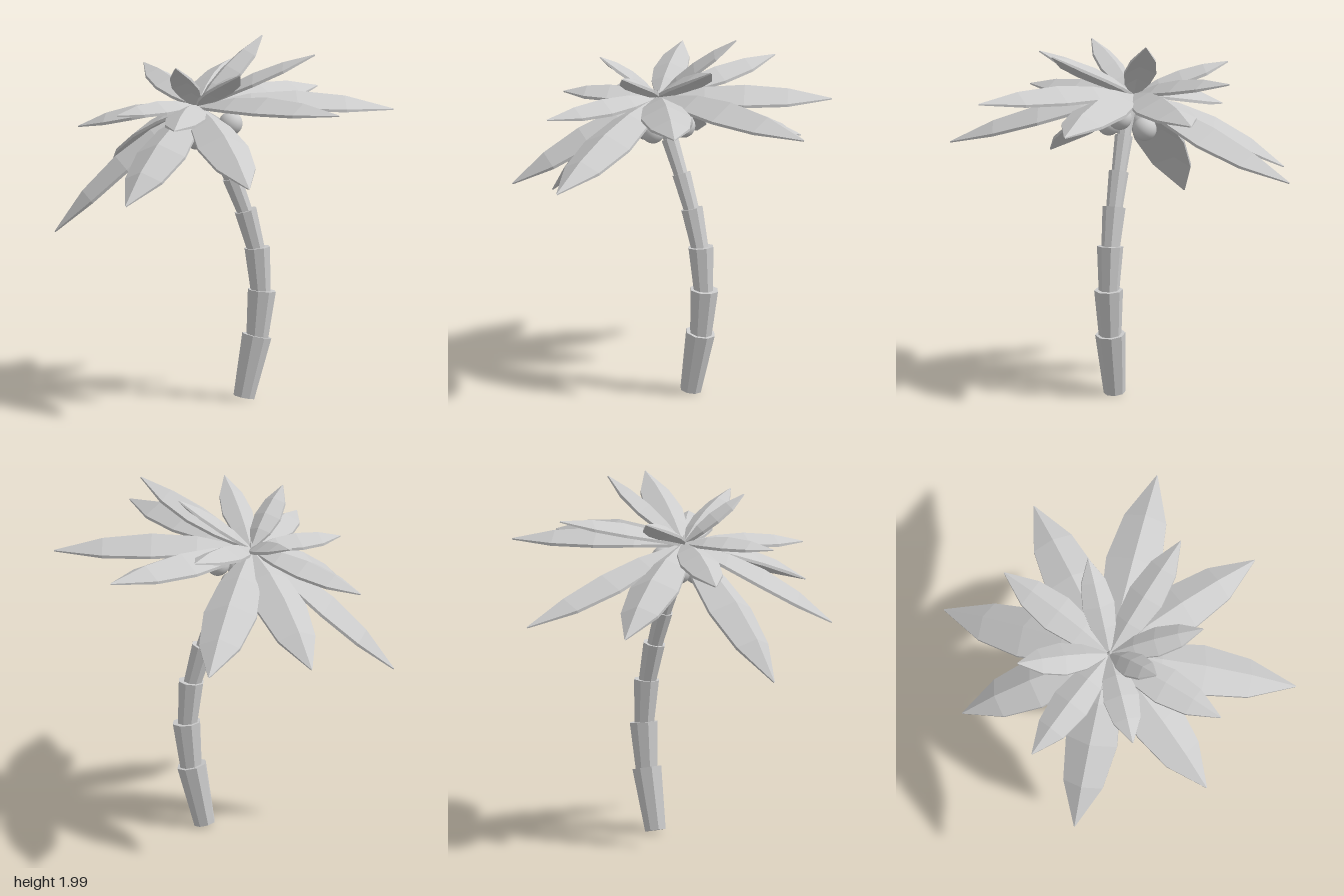
import * as THREE from 'three';

const material = new THREE.MeshStandardMaterial({ color: 0xcccccc, flatShading: true });
const smooth = new THREE.MeshStandardMaterial({ color: 0xcccccc });
const UP = new THREE.Vector3(0, 1, 0);
const CROWN = new THREE.Vector3(-0.15, 1.64, -0.02);

// Folded, arched leaf blade from the crown to its tip, lofted from six-point sections
function frondGeometry(tip, halfWidth, arch) {
  const along = tip.clone().sub(CROWN);
  const dir = along.clone().normalize();
  const side = dir.clone().cross(UP).normalize();
  const normal = side.clone().cross(dir);
  const thick = 0.016;
  const stations = [[0, 0.1], [0.27, 0.78], [0.5, 1], [0.75, 0.77], [1, 0.02]];
  const positions = [];
  const index = [];
  stations.forEach(([t, w], j) => {
    const hw = w * halfWidth;
    const fold = hw * 0.5;
    const depth = j === 4 ? thick * 0.4 : thick;
    const section = [[-hw, -fold], [0, 0], [hw, -fold],
      [hw, -fold - depth], [0, -depth], [-hw, -fold - depth]];
    for (const [s, n] of section) {
      const p = CROWN.clone().addScaledVector(along, t)
        .addScaledVector(side, s)
        .addScaledVector(normal, n + arch * 4 * t * (1 - t));
      positions.push(p.x, p.y, p.z);
    }
    if (j === 0) return;
    for (let i = 0; i < 6; i++) {
      const a = (j - 1) * 6 + i, b = (j - 1) * 6 + (i + 1) % 6;
      index.push(a, b, b + 6, a, b + 6, a + 6);
    }
  });
  const geometry = new THREE.BufferGeometry();
  geometry.setAttribute('position', new THREE.Float32BufferAttribute(positions, 3));
  geometry.setIndex(index);
  const flat = geometry.toNonIndexed();
  flat.computeVertexNormals();
  return flat;
}

// Flared trunk ring between two points
function trunkSegment([x0, y0, r0], [x1, y1, r1]) {
  const a = new THREE.Vector3(x0, y0, 0), b = new THREE.Vector3(x1, y1, 0);
  const axis = b.clone().sub(a);
  const geometry = new THREE.CylinderGeometry(r1, r0, axis.length(), 8);
  geometry.rotateY(Math.PI / 8);
  const mesh = new THREE.Mesh(geometry, material);
  mesh.position.copy(a).add(b).multiplyScalar(0.5);
  mesh.quaternion.setFromUnitVectors(UP, axis.normalize());
  mesh.name = 'trunkSegment';
  return mesh;
}

export function createModel() {
  const palm = new THREE.Group();
  palm.name = 'palmTree';

  // Curved trunk of stacked segments, each wider at its top
  const trunk = new THREE.Group();
  trunk.name = 'trunk';
  [
    [[0.108, 0.008, 0.06], [0.18, 0.35, 0.084]],
    [[0.182, 0.335, 0.062], [0.208, 0.602, 0.08]],
    [[0.203, 0.58, 0.056], [0.182, 0.842, 0.073]],
    [[0.18, 0.815, 0.05], [0.117, 1.05, 0.064]],
    [[0.122, 1.02, 0.044], [0.04, 1.235, 0.055]],
    [[0.045, 1.21, 0.04], [-0.045, 1.42, 0.05]],
    [[-0.038, 1.4, 0.036], [-0.14, 1.62, 0.046]],
  ].forEach(([bottom, top]) => trunk.add(trunkSegment(bottom, top)));
  palm.add(trunk);

  // Fronds: tip x, y, z, half width, arch height
  const fronds = new THREE.Group();
  fronds.name = 'fronds';
  [
    // long lower ring
    [0.04, 1.24, -1.0, 0.15, 0.06],
    [0.6, 1.64, -0.62, 0.15, 0.07],
    [0.94, 1.6, 0.0, 0.155, 0.09],
    [0.55, 1.67, 0.64, 0.14, 0.07],
    [0.0, 1.33, 1.0, 0.145, 0.07],
    [-0.64, 1.19, 0.64, 0.15, 0.08],
    [-0.94, 0.95, -0.04, 0.145, 0.09],
    [-0.52, 1.21, -0.77, 0.145, 0.08],
    // middle ring
    [0.13, 1.79, -0.68, 0.11, 0.05],
    [-0.37, 1.61, 0.66, 0.11, 0.05],
    [-0.63, 1.63, 0.22, 0.1, 0.05],
    [-0.77, 1.49, -0.32, 0.11, 0.06],
    [0.47, 1.95, 0.24, 0.105, 0.04],
    // short upright ring
    [0.24, 1.99, -0.23, 0.09, 0.035],
    [0.02, 1.88, 0.47, 0.085, 0.035],
    [-0.31, 1.9, 0.28, 0.08, 0.035],
    [-0.38, 1.81, -0.49, 0.095, 0.04],
  ].forEach(([x, y, z, halfWidth, arch]) => {
    const geometry = frondGeometry(new THREE.Vector3(x, y, z), halfWidth, arch);
    const frond = new THREE.Mesh(geometry, material);
    frond.name = 'frond';
    fronds.add(frond);
  });
  palm.add(fronds);

  // Bud where the fronds meet
  const bud = new THREE.Mesh(new THREE.ConeGeometry(0.025, 0.06, 6), material);
  bud.position.copy(CROWN).y += 0.01;
  bud.name = 'bud';
  palm.add(bud);

  // Coconuts clustered under the crown
  const coconuts = new THREE.Group();
  coconuts.name = 'coconuts';
  [
    [0.035, 1.535, -0.005], [-0.05, 1.465, -0.12], [-0.08, 1.475, 0.1],
    [-0.165, 1.48, -0.07], [-0.165, 1.47, 0.06],
  ].forEach(([x, y, z]) => {
    const coconut = new THREE.Mesh(new THREE.SphereGeometry(0.066, 24, 16), smooth);
    coconut.position.set(x, y, z);
    coconut.name = 'coconut';
    coconuts.add(coconut);
  });
  palm.add(coconuts);

  return palm;
}
